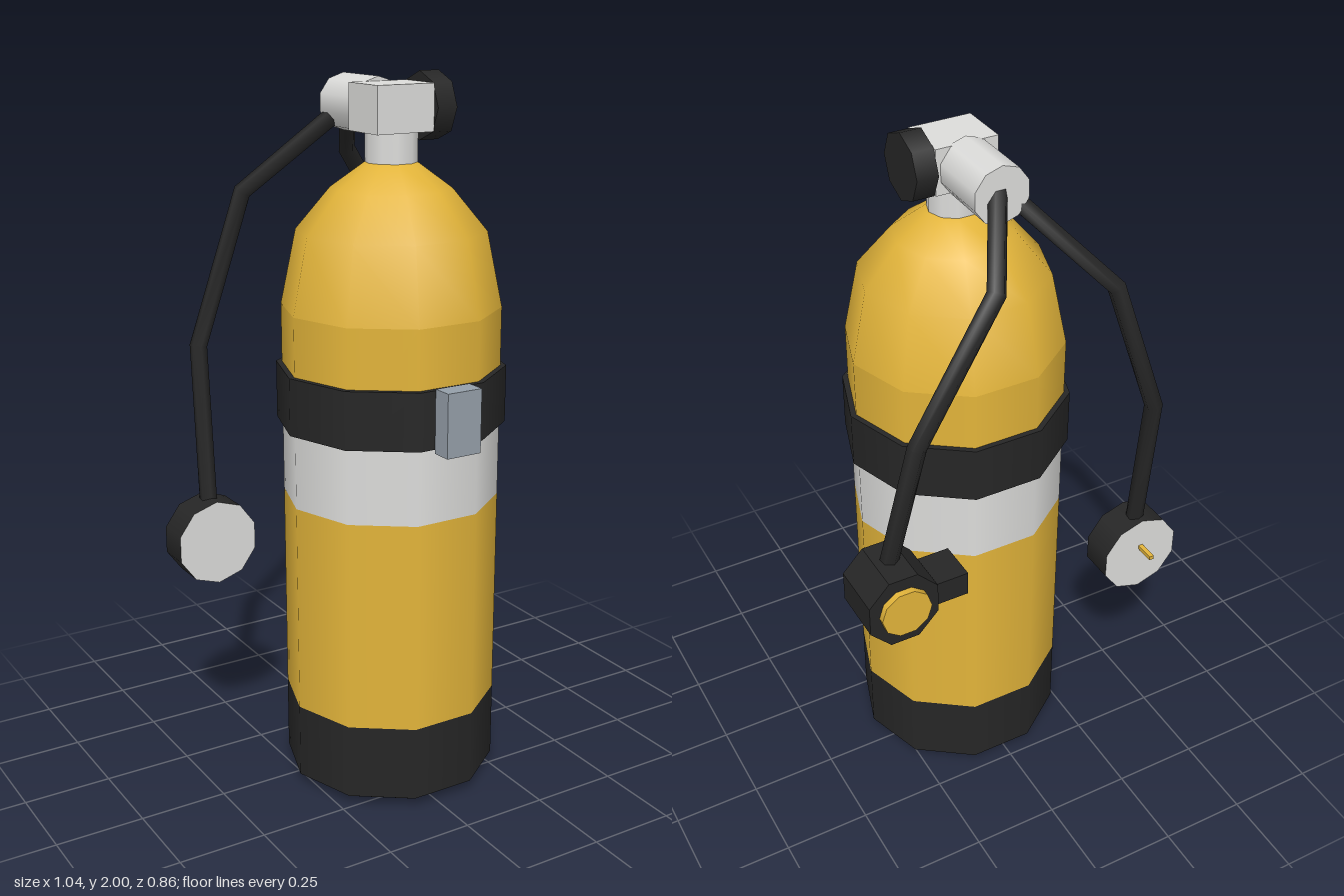
import * as THREE from 'three';

const mat = (name, color) => Object.assign(new THREE.MeshStandardMaterial({ color }), { name });

// Tube axis through a few points, with mitred corners at each one
class BentPath extends THREE.Curve {
  constructor(points) {
    super();
    this.points = points.map((p) => new THREE.Vector3(...p));
  }
  getPointAt(u, target = new THREE.Vector3()) {
    const last = this.points.length - 1;
    const i = Math.min(Math.floor(u * last + 1e-6), last - 1);
    return target.lerpVectors(this.points[i], this.points[i + 1], u * last - i);
  }
  getTangentAt(u, target = new THREE.Vector3()) {
    const p = this.points, i = Math.round(u * (p.length - 1));
    target.set(0, 0, 0);
    if (i > 0) target.add(p[i].clone().sub(p[i - 1]).normalize());
    if (i < p.length - 1) target.add(p[i + 1].clone().sub(p[i]).normalize());
    return target.normalize();
  }
}

export function createModel() {
  const model = new THREE.Group();
  model.name = 'divingCylinder';

  const yellow = mat('tankYellow', 0xe2b43a);
  const white = mat('paleGrey', 0xdcdcda);
  const black = mat('rubberBlack', 0x262626);
  const steel = mat('buckleGrey', 0x959fa9);

  const CX = 0.019, CZ = 0.063; // tank axis
  const R = 0.302;
  const TURN = Math.PI / 10; // puts decagon corners on the x axis

  const add = (name, geometry, material, x = 0, y = 0, z = 0) => {
    const mesh = new THREE.Mesh(geometry, material);
    mesh.name = name;
    mesh.position.set(x, y, z);
    model.add(mesh);
    return mesh;
  };
  const box = (name, material, x0, x1, y0, y1, z0, z1) =>
    add(name, new THREE.BoxGeometry(x1 - x0, y1 - y0, z1 - z0), material,
      (x0 + x1) / 2, (y0 + y1) / 2, (z0 + z1) / 2);
  // Upright ten-sided section of the tank
  const section = (name, material, rTop, rBottom, y0, y1) =>
    add(name, new THREE.CylinderGeometry(rTop, rBottom, y1 - y0, 10, 1, false, TURN),
      material, CX, (y0 + y1) / 2, CZ);
  // Round part lying along z
  const disc = (name, material, r, sides, x, y, z0, z1, turn = 0) => {
    const g = new THREE.CylinderGeometry(r, r, z1 - z0, sides, 1, false, turn);
    g.rotateX(Math.PI / 2);
    return add(name, g, material, x, y, (z0 + z1) / 2);
  };

  // Tank: boot, painted bands and domed shoulder
  section('bootChamfer', black, R, 0.25, 0, 0.03);
  section('boot', black, R, R, 0.03, 0.245);
  section('lowerTank', yellow, R, R, 0.245, 0.845);
  section('paleBand', white, R, R, 0.845, 1.1);
  section('upperTank', yellow, R, R, 1.1, 1.38);
  const dome = [[R, 1.38], [0.259, 1.586], [0.164, 1.7], [0.07, 1.768], [0, 1.768]]
    .map(([r, y]) => new THREE.Vector2(r, y));
  add('shoulder', new THREE.LatheGeometry(dome, 10, TURN), yellow, CX, 0, CZ);

  // Strap and buckle
  section('strap', black, 0.318, 0.318, 1.057, 1.217);
  box('buckle', steel, -0.035, 0.07, 1.047, 1.222, 0.368, 0.425);

  // Valve
  section('neck', white, 0.071, 0.071, 1.76, 1.86);
  box('valveBlock', white, -0.069, 0.106, 1.847, 1.972, -0.01, 0.135);
  disc('valveOutlet', white, 0.078, 10, 0.018, 1.907, -0.184, 0);
  const knob = new THREE.CylinderGeometry(0.091, 0.091, 0.06, 8);
  knob.rotateZ(Math.PI / 2);
  add('valveKnob', knob, black, 0.136, 1.909, 0.063);

  // Hoses
  const hose = (name, points) =>
    add(name, new THREE.TubeGeometry(new BentPath(points), points.length - 1, 0.025, 6), black);
  hose('gaugeHose', [[0, 1.91, -0.125], [-0.23, 1.66, -0.325], [-0.388, 1.24, -0.308], [-0.403, 0.78, -0.243]]);
  hose('regulatorHose', [[0.02, 1.91, -0.165], [0.127, 1.755, -0.352], [0.36, 1.41, -0.383], [0.425, 1.0, -0.32]]);

  // Pressure gauge with pale faces and a pointer
  disc('gauge', [black, white, white], 0.123, 10, -0.403, 0.688, -0.287, -0.187);
  box('gaugePointer', yellow, -0.41, -0.396, 0.709, 0.721, -0.345, -0.28);

  // Mouth regulator
  const body = disc('regulatorBody', black, 0.1095, 8, 0.422, 0.935, -0.412, -0.254, Math.PI / 8);
  body.geometry.scale(0.965, 1.035, 1);
  body.geometry = body.geometry.toNonIndexed();
  body.geometry.computeVertexNormals();
  disc('purgeButton', yellow, 0.071, 10, 0.422, 0.937, -0.43, -0.405, TURN);
  box('mouthpiece', black, 0.23, 0.36, 0.9, 0.97, -0.4, -0.287);

  return model;
}
